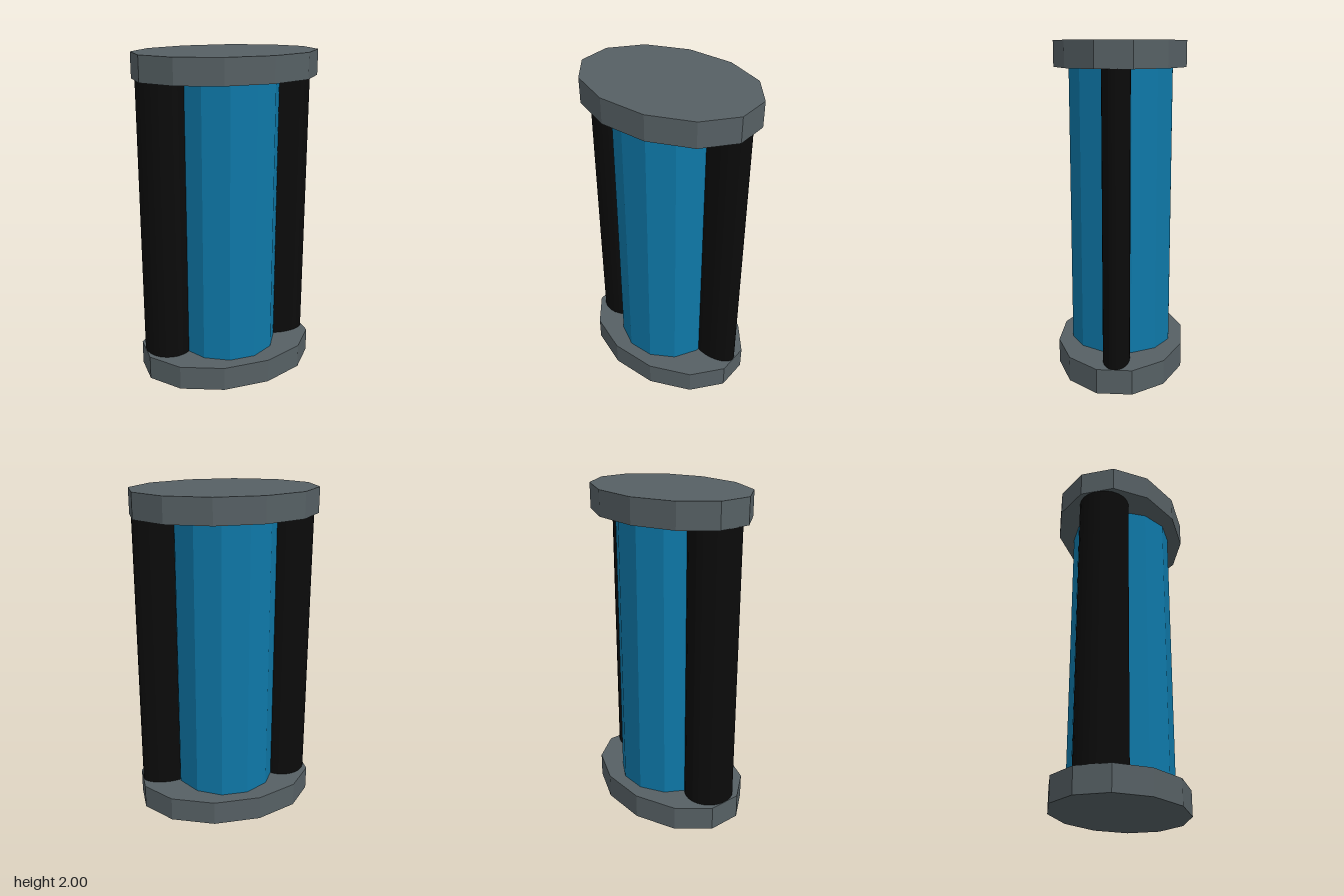
import * as THREE from 'three';

const material = (name, color, flatShading) => {
  const m = new THREE.MeshStandardMaterial({ color, flatShading });
  m.name = name;
  return m;
};

export function createModel() {
  const group = new THREE.Group();
  group.name = 'capsuleColumn';
  const grey = material('slate grey', 0x566064, true);
  const blue = material('deep blue', 0x0e78a8, true);
  const black = material('black', 0x0b0b0b, true);

  // Upright elliptical prism with a flat side facing each axis
  const prism = (name, mat, rx, rz, y0, y1, sides, x = 0) => {
    const geometry = new THREE.CylinderGeometry(1, 1, y1 - y0, sides, 1, false, Math.PI / sides);
    geometry.scale(rx, 1, rz);
    const mesh = new THREE.Mesh(geometry, mat);
    mesh.name = name;
    mesh.position.set(x, (y0 + y1) / 2, 0);
    group.add(mesh);
  };

  // End plates
  prism('bottomCap', grey, 0.559, 0.398, 0, 0.15, 12);
  prism('topCap', grey, 0.559, 0.398, 1.85, 2, 12);

  // Central column
  prism('core', blue, 0.316, 0.316, 0.15, 1.85, 12);

  // Side columns: a flattened one on the left, a round one on the right
  prism('leftColumn', black, 0.15, 0.08, 0.15, 1.85, 24, 0.389);
  prism('rightColumn', black, 0.15, 0.152, 0.15, 1.85, 24, -0.389);

  return group;
}
